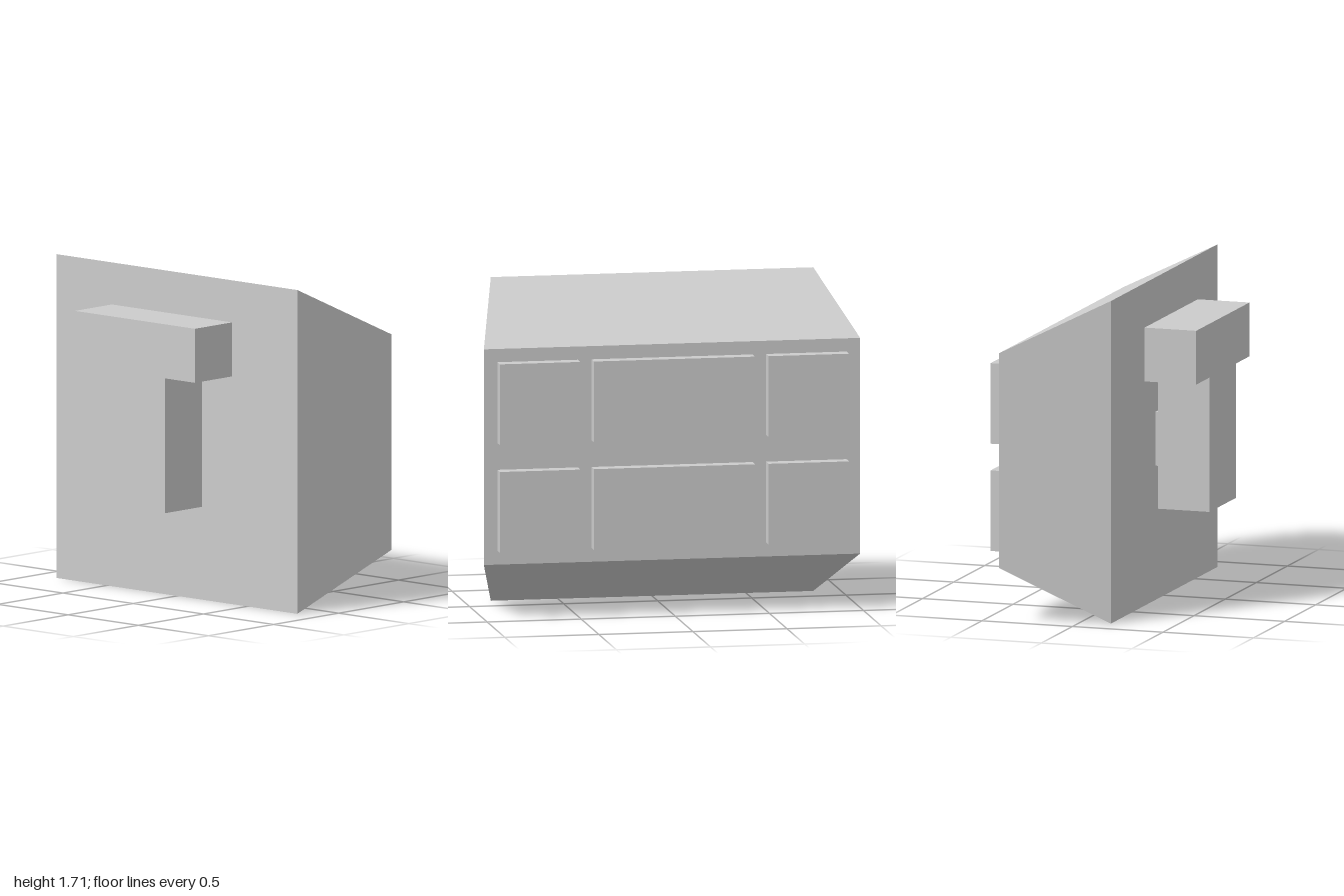
import * as THREE from 'three';

const material = new THREE.MeshStandardMaterial({ color: 0xcccccc, flatShading: true });

// Box given by its [min, max] range on each axis
function block(name, [x0, x1], [y0, y1], [z0, z1]) {
  const geometry = new THREE.BoxGeometry(x1 - x0, y1 - y0, z1 - z0);
  const mesh = new THREE.Mesh(geometry, material);
  mesh.position.set((x0 + x1) / 2, (y0 + y1) / 2, (z0 + z1) / 2);
  mesh.name = name;
  return mesh;
}

// Main body: a box whose back side is taller and narrower than its padded side
function createBody() {
  const body = block('body', [-0.163, 0.405], [0, 1.714], [-1, 1]);
  const p = body.geometry.attributes.position;
  for (let i = 0; i < p.count; i++) {
    if (p.getX(i) > 0) p.setY(i, Math.sign(p.getY(i)) * 0.571);
    else p.setZ(i, Math.sign(p.getZ(i)) * 0.857);
  }
  body.geometry.computeVertexNormals();
  return body;
}

// T-shaped handle: outline in (z, y), extruded along x
function createHandle() {
  const shape = new THREE.Shape([
    [-0.214, 0.5], [0.214, 0.5], [0.214, 1.214], [0.428, 1.214],
    [0.428, 1.5], [-0.428, 1.5], [-0.428, 1.214], [-0.214, 1.214],
  ].map(([z, y]) => new THREE.Vector2(z, y)));
  const geometry = new THREE.ExtrudeGeometry(shape, { depth: 0.285, bevelEnabled: false });
  const handle = new THREE.Mesh(geometry, material);
  handle.rotation.y = -Math.PI / 2;
  handle.position.x = -0.202;
  handle.name = 'handle';
  return handle;
}

export function createModel() {
  const model = new THREE.Group();
  model.name = 'paddedBlock';
  model.add(createBody(), createHandle());

  // Short neck joining handle and body
  model.add(block('handleNeck', [-0.202, -0.163], [0.714, 1.0], [-0.143, 0.143]));

  // Two rows of raised pads: a wide one between two narrow ones
  const pads = new THREE.Group();
  pads.name = 'pads';
  for (const y of [[0.36, 0.788], [0.93, 1.358]]) {
    for (const z of [[-0.928, -0.5], [-0.428, 0.428], [0.5, 0.928]]) {
      pads.add(block('pad', [0.405, 0.477], y, z));
    }
  }
  model.add(pads);
  return model;
}
